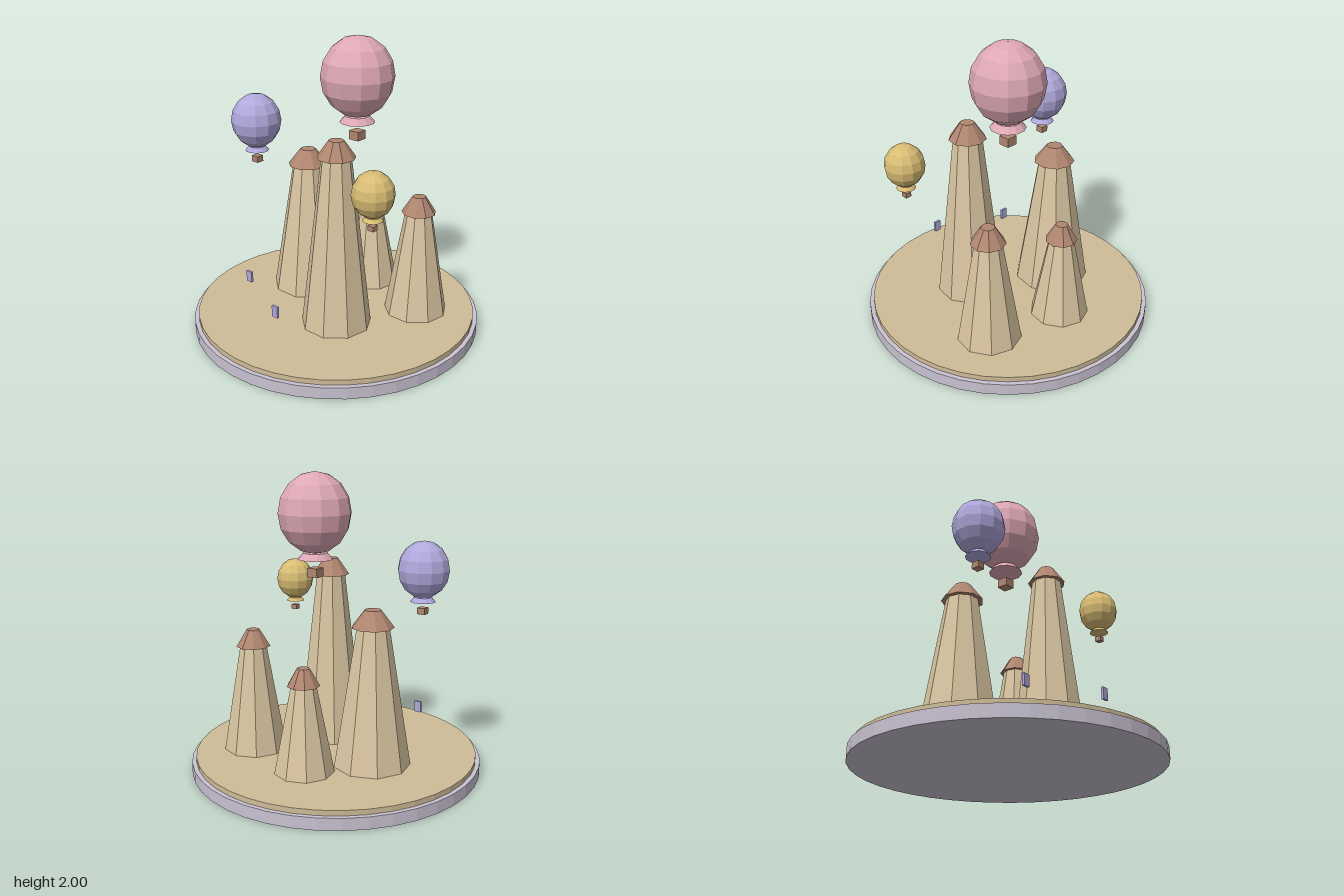
import * as THREE from 'three';

const paint = (name, color) => {
  const m = new THREE.MeshStandardMaterial({ color, flatShading: true });
  m.name = name;
  return m;
};

export function createModel() {
  const model = new THREE.Group();
  const stone = paint('pale stone', 0xc9c2d2);
  const sand = paint('sand', 0xcfbc98);
  const rock = paint('light rock', 0xdac6a2);
  const brown = paint('brown', 0xb08670);
  const pink = paint('pink', 0xdea8b5);
  const lilac = paint('lilac', 0xb0a8dc);
  const gold = paint('gold', 0xd8bc74);

  const add = (parent, name, geometry, material, x, y, z) => {
    const mesh = new THREE.Mesh(geometry, material);
    mesh.name = name;
    mesh.position.set(x, y, z);
    parent.add(mesh);
    return mesh;
  };

  // Round base with a sand disc on top
  add(model, 'base', new THREE.CylinderGeometry(0.986, 0.986, 0.08, 40), stone, 0, 0.04, 0);
  add(model, 'ground', new THREE.CylinderGeometry(0.957, 0.957, 0.035, 40), sand, 0, 0.0975, 0);

  // Rock spires, nine-sided, each with a flat-topped cap: x, z, radius, top height
  const ground = 0.115, capHeight = 0.113;
  const spires = [
    [0.176, 0.198, 0.235, 1.397],
    [-0.347, -0.1, 0.257, 1.153],
    [0.472, -0.297, 0.214, 0.951],
    [-0.05, -0.445, 0.197, 0.805],
  ];
  for (const [x, z, r, top] of spires) {
    const spire = new THREE.Group();
    spire.name = 'rockSpire';
    spire.position.set(x, 0, z);
    spire.rotation.y = Math.PI;
    const h = top - capHeight - ground;
    add(spire, 'spireColumn', new THREE.CylinderGeometry(r * 0.42, r, h, 9), rock, 0, ground + h / 2, 0);
    add(spire, 'spireCap', new THREE.CylinderGeometry(r * 0.21, r * 0.54, capHeight, 9), brown, 0, top - capHeight / 2, 0);
    model.add(spire);
  }

  // Hot-air balloons: x, envelope centre y, z, scale, colour
  const balloons = [
    [0.098, 1.735, -0.098, 1, pink],
    [-0.543, 1.386, 0.198, 0.7, lilac],
    [0.59, 1.186, 0.343, 0.55, gold],
  ];
  for (const [x, y, z, s, material] of balloons) {
    const balloon = new THREE.Group();
    balloon.name = 'balloon';
    balloon.position.set(x, y, z);
    balloon.scale.setScalar(s);
    const envelope = add(balloon, 'envelope', new THREE.SphereGeometry(0.242, 12, 8), material, 0, 0, 0);
    envelope.scale.y = 0.265 / 0.242;
    envelope.rotation.y = Math.PI / 12;
    const skirt = add(balloon, 'skirt', new THREE.CylinderGeometry(0.08, 0.117, 0.042, 12), material, 0, -0.279, 0);
    skirt.rotation.y = Math.PI / 12;
    add(balloon, 'basket', new THREE.BoxGeometry(0.077, 0.06, 0.077), brown, 0, -0.388, 0);
    model.add(balloon);
  }

  // Small window panels standing in front of the spires
  for (const [x, z] of [[-0.397, 0.446], [0.079, 0.672]]) {
    add(model, 'windowPanel', new THREE.BoxGeometry(0.048, 0.077, 0.016), lilac, x, 0.354, z);
  }

  return model;
}
